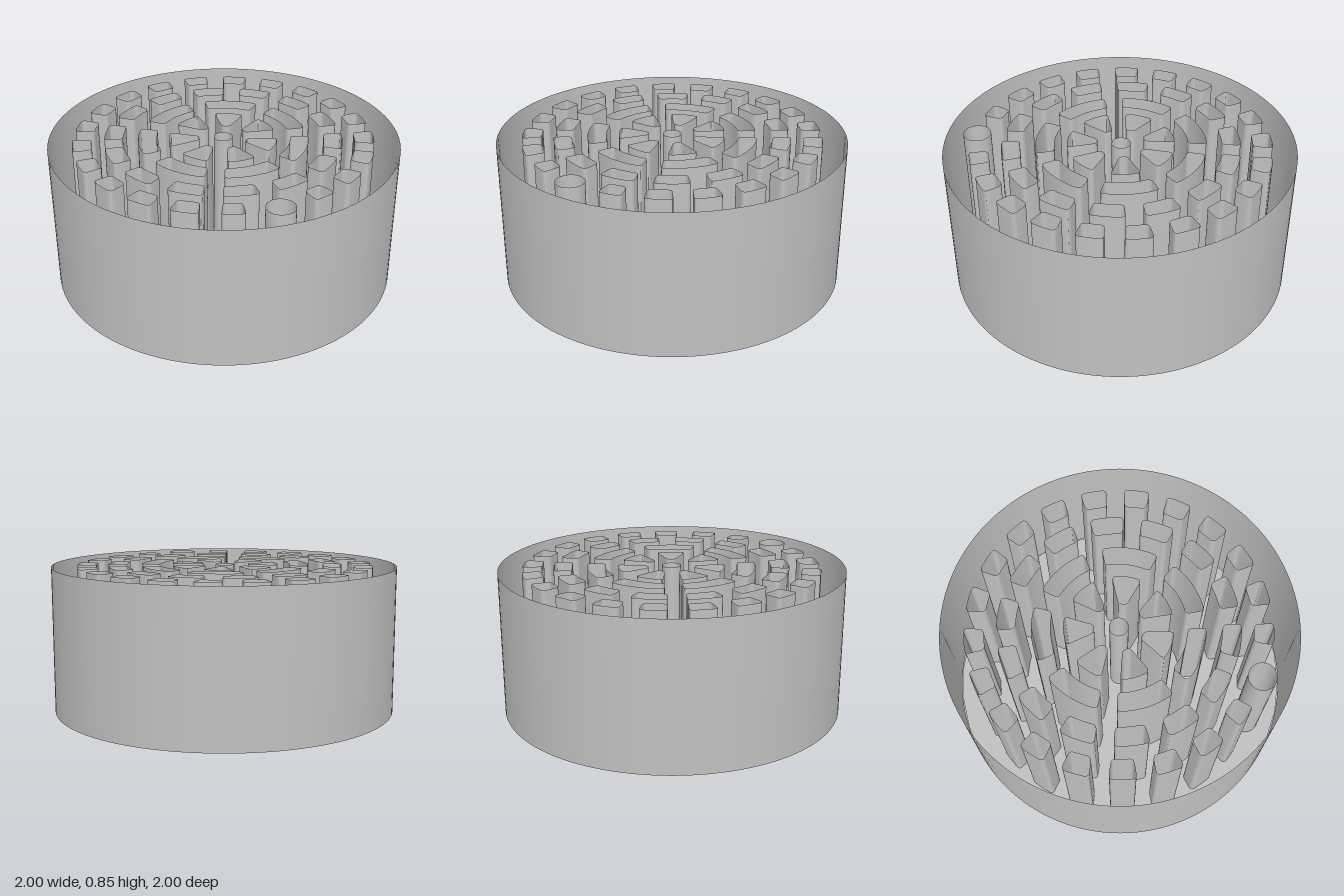
import * as THREE from 'three';
import { toCreasedNormals } from 'three/addons/utils/BufferGeometryUtils.js';

const HEIGHT = 0.845;
const CX = -0.004, CZ = -0.005; // centre of the hole pattern
const DEG = Math.PI / 180;

// Rounded ring sector: radii r0..r1, middle angle a, half angles h0 (inner) and h1 (outer)
function sector(r0, r1, a, h0, h1, c) {
  const at = (r, t) => new THREE.Vector2(CX + r * Math.cos(t), CZ + r * Math.sin(t));
  const e1 = Math.min(c / r1, h1 * 0.9), e0 = Math.min(c / r0, h0 * 0.9);
  const path = new THREE.Path();
  // side from corner p to corner q, rounded at both ends
  const side = (p, q, end) => {
    const k = c / p.distanceTo(q);
    const s = p.clone().lerp(q, k), f = p.clone().lerp(q, 1 - k);
    path.quadraticCurveTo(p.x, p.y, s.x, s.y);
    path.lineTo(f.x, f.y);
    path.quadraticCurveTo(q.x, q.y, end.x, end.y);
  };
  const start = at(r1, a - h1 + e1);
  path.moveTo(start.x, start.y);
  path.absarc(CX, CZ, r1, a - h1 + e1, a + h1 - e1, false);
  side(at(r1, a + h1), at(r0, a + h0), at(r0, a + h0 - e0));
  path.absarc(CX, CZ, r0, a + h0 - e0, a - h0 + e0, true);
  side(at(r0, a - h0), at(r1, a - h1), start);
  return path;
}

function circle(x, z, r) {
  const path = new THREE.Path();
  path.absarc(x, z, r, 0, Math.PI * 2, false);
  return path;
}

// Upright open wall that follows a closed path
function wall(path, divisions) {
  const pts = path.getPoints(divisions).filter(
    (p, i, all) => p.distanceTo(all[(i + 1) % all.length]) > 1e-5);
  const pos = [], index = [], n = pts.length;
  pts.forEach((p, i) => {
    pos.push(p.x, 0, p.y, p.x, HEIGHT, p.y);
    const b = 2 * i, d = 2 * ((i + 1) % n);
    index.push(b, b + 1, d, d, b + 1, d + 1);
  });
  const g = new THREE.BufferGeometry();
  g.setAttribute('position', new THREE.Float32BufferAttribute(pos, 3));
  g.setIndex(index);
  return toCreasedNormals(g, 40 * DEG);
}

export function createModel() {
  const model = new THREE.Group();
  const grey = new THREE.MeshStandardMaterial({ color: 0xc0c0c0, side: THREE.DoubleSide });
  grey.name = 'grey';
  const add = (name, geometry, parent = model) => {
    const mesh = new THREE.Mesh(geometry, grey);
    mesh.name = name;
    parent.add(mesh);
  };

  // Rings of openings, from the centre out
  const rings = [
    { name: 'wedgeTube', count: 7, start: 23.5, r0: 0.138, r1: 0.308, h0: 9, h1: 15.8, c: 0.022 },
    { name: 'arcTube', count: 7, start: 22.7, r0: 0.382, r1: 0.487, h0: 19, h1: 19.3, c: 0.025 },
    { name: 'middleTube', count: 14, start: 9, r0: 0.575, r1: 0.68, h0: 8, h1: 8.4, c: 0.026 },
    { name: 'outerTube', count: 21, start: 5, r0: 0.75, r1: 0.86, h0: 4.6, h1: 5.1, c: 0.026 },
  ];
  const holes = [{ name: 'centreTube', path: circle(CX, CZ, 0.054) }];
  for (const g of rings) {
    for (let i = 0; i < g.count; i++) {
      const outer = g.name === 'outerTube';
      if (outer && i === 4) {
        // One round opening replaces a slot
        holes.push({ name: 'roundTube', path: circle(0.228, 0.798, 0.08) });
        continue;
      }
      // Slots beside the round opening are narrower
      const k = outer && (i === 3 || i === 5) ? 0.84 : 1;
      const a = (g.start + i * 360 / g.count) * DEG;
      holes.push({ name: g.name, path: sector(g.r0, g.r1, a, g.h0 * DEG * k, g.h1 * DEG * k, g.c) });
    }
  }

  // Pierced floor
  const floor = new THREE.Shape();
  floor.absarc(0, 0, 1, 0, Math.PI * 2, false);
  floor.holes = holes.map(h => h.path);
  add('floor', new THREE.ShapeGeometry(floor, 16).rotateX(Math.PI / 2));

  // Outer wall
  add('outerWall', wall(circle(0, 0, 1), 64));

  // Thin tubes standing round every opening
  const tubes = new THREE.Group();
  tubes.name = 'tubes';
  model.add(tubes);
  for (const h of holes) add(h.name, wall(h.path, 16), tubes);

  return model;
}
